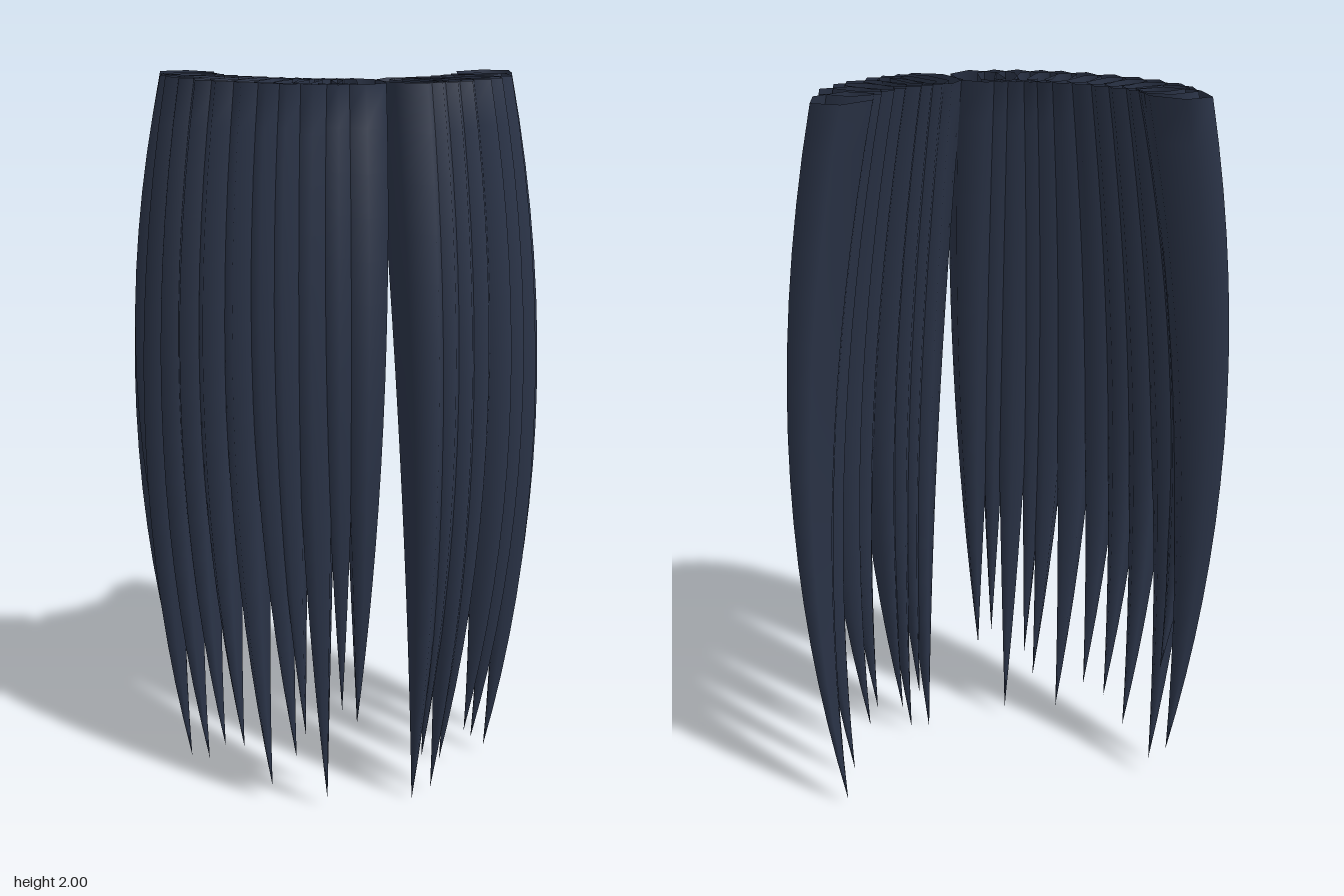
import * as THREE from 'three';

const hair = new THREE.MeshStandardMaterial({ color: 0x2b3448, side: THREE.DoubleSide });
hair.name = 'dark blue hair';

const SIDES = 6, RINGS = 16, TOP = 2;

// Locks: [root angle, tip angle, tip height, width]; angle 0 is the front, positive is +x
const rightLocks = [
  [-1.57, -1.55, 0.12, 0.20],
  [-1.40, -1.38, 0.34, 0.14],
  [-1.25, -1.26, 0.01, 0.15],
  [-1.05, -0.97, 0.06, 0.13],
  [-0.88, -0.80, 0.13, 0.12],
  [-0.71, -0.64, 0.15, 0.12],
  [-0.53, -0.44, 0.05, 0.12],
  [-0.38, -0.28, 0.15, 0.11],
  [-0.27, -0.22, 0.22, 0.10],
  [-0.14, -0.09, 0.03, 0.115],
  [-0.02, 0.00, 0.30, 0.10],
  [0.11, 0.09, 0.26, 0.125],
];
const leftLocks = [
  [0.43, 0.45, 0.00, 0.125],
  [0.52, 0.52, 0.13, 0.11],
  [0.62, 0.59, 0.02, 0.11],
  [0.73, 0.66, 0.10, 0.11],
  [0.90, 0.90, 0.15, 0.12],
  [1.04, 0.99, 0.11, 0.12],
  [1.25, 1.25, 0.03, 0.14],
  [1.56, 1.57, 0.02, 0.20],
];

// A hollow six-sided lock that bows outward and narrows to a point
function makeLock([rootAngle, tipAngle, tipY, width]) {
  // The locks at the ends of the arc turn partly to the front
  const facing = rootAngle * (1 - 0.18 * Math.abs(rootAngle));
  const n = new THREE.Vector3(Math.sin(facing), 0, Math.cos(facing));
  const side = new THREE.Vector3(n.z, 0, -n.x);
  // The right curtain is slightly flatter at its corner
  const inset = rootAngle < 0 ? 0.02 * Math.sin(2 * rootAngle) ** 2 : 0;
  const root = new THREE.Vector3(0.41 * Math.sin(rootAngle), TOP, -0.23 + 0.36 * Math.cos(rootAngle))
    .addScaledVector(n, -inset);
  const tip = new THREE.Vector3(0.46 * Math.sin(tipAngle), tipY, -0.21 + 0.46 * Math.cos(tipAngle));
  const bow = root.clone().addScaledVector(n, 0.19 + 0.03 * Math.abs(Math.sin(rootAngle)) - inset)
    .setY((TOP + tipY) / 2);
  const spine = new THREE.QuadraticBezierCurve3(root, bow, tip);
  const depth = 0.16 + 0.08 * Math.cos(rootAngle);

  const positions = [], index = [];
  for (let i = 0; i <= RINGS; i++) {
    const t = i / RINGS;
    const c = spine.getPoint(t);
    const s = Math.max(1 - Math.pow(t, 1.95), 0.002) / 2;
    for (let j = 0; j < SIDES; j++) {
      const a = (j / SIDES) * Math.PI * 2;
      const p = c.clone()
        .addScaledVector(n, Math.cos(a) * depth * s)
        .addScaledVector(side, (Math.sin(a) / 0.866) * width * s);
      positions.push(p.x, p.y, p.z);
      if (i < RINGS) {
        const k = i * SIDES + j, m = i * SIDES + ((j + 1) % SIDES);
        index.push(k, k + SIDES, m, m, k + SIDES, m + SIDES);
      }
    }
  }
  const g = new THREE.BufferGeometry();
  g.setAttribute('position', new THREE.Float32BufferAttribute(positions, 3));
  g.setIndex(index);
  g.computeVertexNormals();
  return g;
}

function makeSide(name, locks) {
  const group = new THREE.Group();
  group.name = name;
  locks.forEach((lock, i) => {
    const mesh = new THREE.Mesh(makeLock(lock), hair);
    mesh.name = `hairLock${i + 1}`;
    group.add(mesh);
  });
  return group;
}

export function createModel() {
  const model = new THREE.Group();
  model.name = 'hairFringe';
  // Two curtains of locks with a parting between them
  model.add(makeSide('rightFringe', rightLocks), makeSide('leftFringe', leftLocks));
  return model;
}
